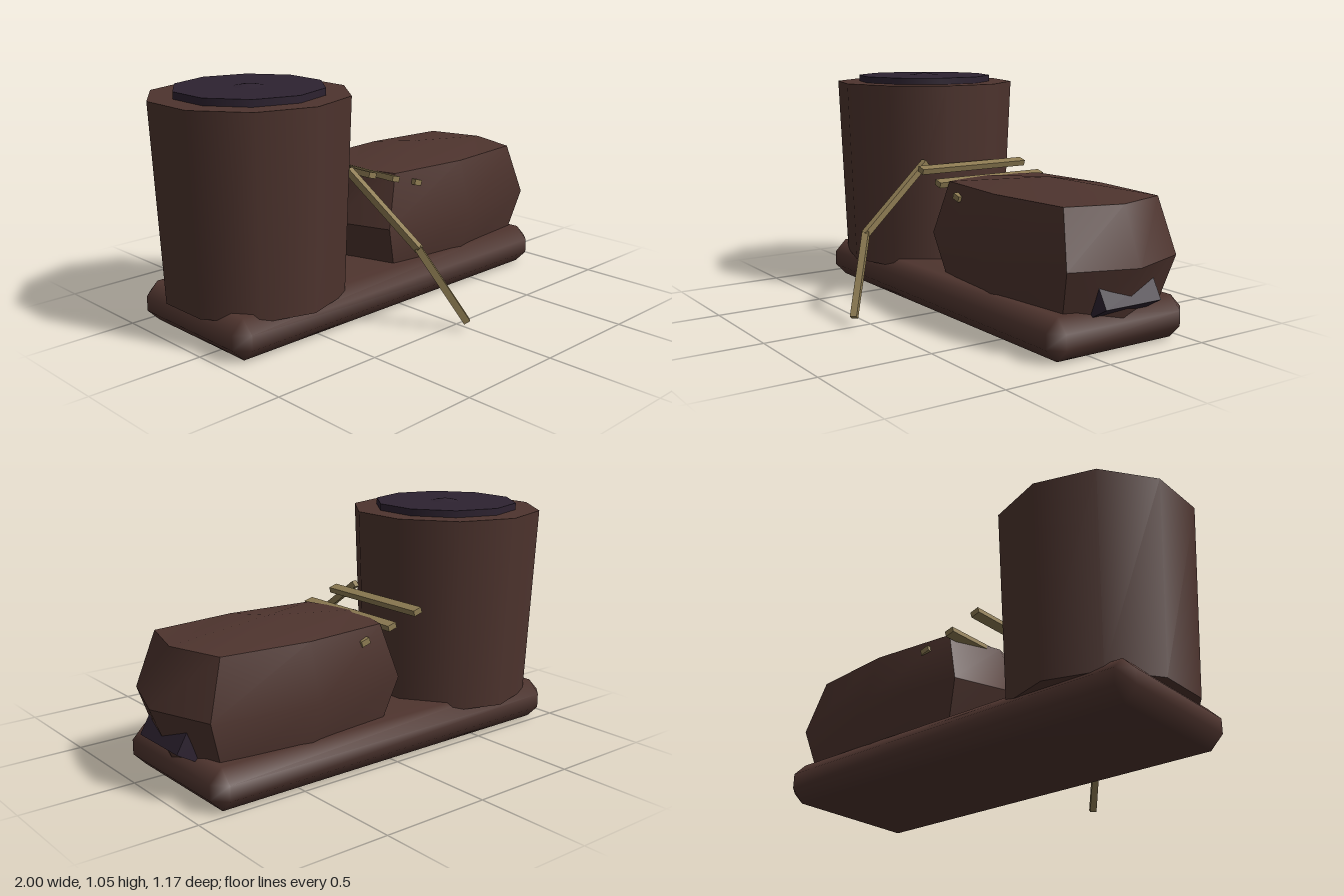
import * as THREE from 'three';
import { mergeVertices, toCreasedNormals } from 'three/addons/utils/BufferGeometryUtils.js';
import { ConvexGeometry } from 'three/addons/geometries/ConvexGeometry.js';

const material = (name, color) => {
  const m = new THREE.MeshStandardMaterial({ color });
  m.name = name;
  return m;
};

// Box whose edges and corners are all cut by c, shaded smoothly
function chamferedBox(w, h, d, c) {
  const half = [w / 2, h / 2, d / 2];
  const points = [];
  for (let axis = 0; axis < 3; axis++)
    for (const sx of [-1, 1]) for (const sy of [-1, 1]) for (const sz of [-1, 1]) {
      const p = [sx, sy, sz].map((s, i) => s * (half[i] - (i === axis ? 0 : c)));
      points.push(new THREE.Vector3(...p));
    }
  let geo = new ConvexGeometry(points);
  geo.deleteAttribute('normal');
  geo = mergeVertices(geo, 1e-4);
  geo.computeVertexNormals();
  return geo;
}

// Box with two segments per side, swollen at edge middles and face centres
function swollenBox() {
  const geo = new THREE.BoxGeometry(2, 2, 2, 2, 2, 2);
  const p = geo.attributes.position;
  for (let i = 0; i < p.count; i++) {
    const [x, y, z] = [p.getX(i), p.getY(i), p.getZ(i)].map(Math.round);
    const n = Math.abs(x) + Math.abs(y) + Math.abs(z);
    const hx = [0, 0.575, 0.475, 0.4][n];
    const hy = [0, 0.29, 0.24, 0.24][n];
    const hz = [0, 0.36, 0.29, 0.25][n];
    p.setXYZ(i, x * hx, y * hy, z * hz);
  }
  return toCreasedNormals(geo, 0.65);
}

export function createModel() {
  const brown = material('dark brown', 0x4e342e);
  const purple = material('dark purple', 0x2d2230);
  const gold = material('dull gold', 0x8d7b52);

  const model = new THREE.Group();
  model.name = 'model';
  const add = (name, geo, mat, x, y, z, tilt = 0) => {
    const mesh = new THREE.Mesh(geo, mat);
    mesh.name = name;
    mesh.position.set(x, y, z);
    mesh.rotation.z = tilt;
    model.add(mesh);
    return mesh;
  };

  const midZ = -0.15;

  // Base slab
  add('base', chamferedBox(1.87, 0.182, 0.72, 0.058), brown, -0.015, 0.091, midZ);

  // Upright ten-sided drum with its dark lid
  add('drum', new THREE.CylinderGeometry(0.433, 0.397, 0.865, 10), brown, -0.59, 0.578, midZ);
  add('lid', new THREE.CylinderGeometry(0.326, 0.326, 0.05, 10), purple, -0.59, 1.016, midZ);
  add('lidPeak', new THREE.ConeGeometry(0.07, 0.012, 10), purple, -0.59, 1.047, midZ);

  // Swollen body lying beside the drum
  add('body', swollenBox(), brown, 0.423, 0.36, midZ);

  // Slanted dark block at the end of the body
  add('endBlock', new THREE.BoxGeometry(0.1, 0.1, 0.29), purple, 0.897, 0.224, midZ, Math.PI / 6);

  // Three crossbars stepping down into the body
  for (let i = 0; i < 3; i++)
    add('crossbar', new THREE.BoxGeometry(0.044, 0.026, 0.581), gold,
      -0.157 + i * 0.145, 0.631 - i * 0.043, midZ, -0.28);

  // Bent lever reaching forward and down
  const path = [[-0.232, 0.652, 0.072], [-0.167, 0.367, 0.425], [-0.018, 0.042, 0.57]]
    .map(p => new THREE.Vector3(...p));
  for (let i = 0; i < 2; i++) {
    const [a, b] = [path[i], path[i + 1]];
    const mid = a.clone().add(b).multiplyScalar(0.5);
    const rod = add('lever', new THREE.BoxGeometry(0.03, 0.03, a.distanceTo(b) + 0.012), gold, mid.x, mid.y, mid.z);
    rod.lookAt(b);
  }
  return model;
}
